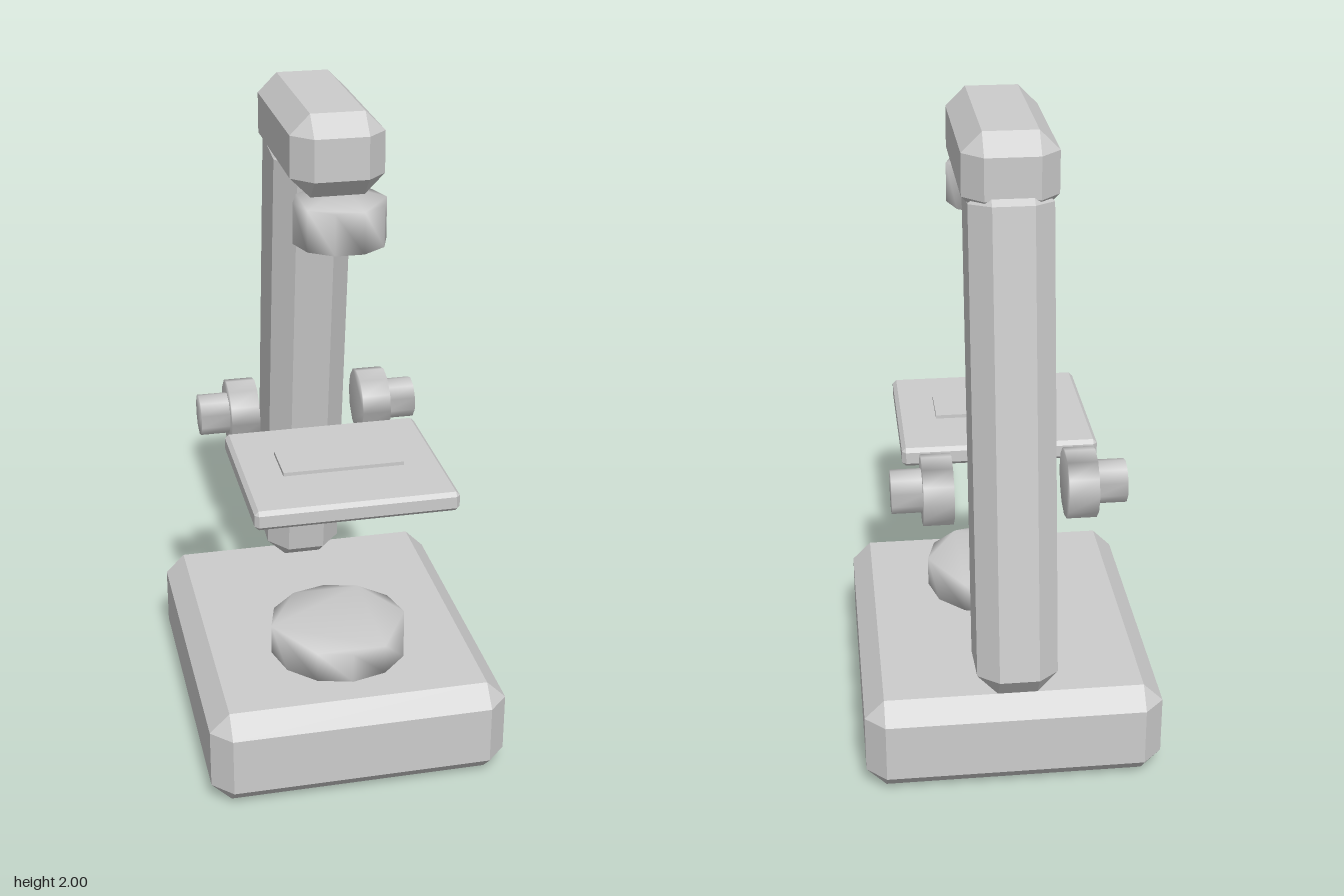
import * as THREE from 'three';
import { mergeVertices } from 'three/addons/utils/BufferGeometryUtils.js';
import { ConvexGeometry } from 'three/addons/geometries/ConvexGeometry.js';

const grey = new THREE.MeshStandardMaterial({ color: 0xcccccc });
grey.name = 'plainGrey';

// Box with every edge cut flat by c
function chamferBox(w, h, d, c) {
  const points = [];
  for (const x of [-1, 1]) for (const y of [-1, 1]) for (const z of [-1, 1])
    for (const [a, b, e] of [[0, c, c], [c, 0, c], [c, c, 0]])
      points.push(new THREE.Vector3(x * (w / 2 - a), y * (h / 2 - b), z * (d / 2 - e)));
  return new ConvexGeometry(points);
}

// Low-sided disc along z, with normals smoothed over the rim
function softDisc(radius, depth, sides, start = 0) {
  const points = [];
  for (let i = 0; i < sides; i++) {
    const a = start + (i / sides) * Math.PI * 2;
    points.push(new THREE.Vector2(Math.cos(a) * radius, Math.sin(a) * radius));
  }
  const raw = new THREE.ExtrudeGeometry(new THREE.Shape(points), { depth, bevelEnabled: false, steps: 1 });
  raw.translate(0, 0, -depth / 2);
  raw.deleteAttribute('normal');
  raw.deleteAttribute('uv');
  const geometry = mergeVertices(raw, 1e-4);
  geometry.computeVertexNormals();
  return geometry;
}

export function createModel() {
  const model = new THREE.Group();
  model.name = 'microscope';

  const add = (name, geometry, x, y, z) => {
    const mesh = new THREE.Mesh(geometry, grey);
    mesh.name = name;
    mesh.position.set(x, y, z);
    model.add(mesh);
    return mesh;
  };

  // Foot and lamp
  add('base', chamferBox(0.91, 0.305, 1.09, 0.06), 0, 0.1525, 0.032);
  add('lamp', softDisc(0.212, 0.095, 12).rotateX(-Math.PI / 2), 0, 0.3525, 0.217);

  // Leaning arm
  const arm = add('arm', chamferBox(0.24, 1.525, 0.3, 0.061), 0, 1.097, -0.33);
  arm.rotation.x = THREE.MathUtils.degToRad(8);

  // Head and lens
  add('head', chamferBox(0.272, 0.238, 0.605, 0.058), 0, 1.881, -0.058);
  add('lens', softDisc(0.135, 0.12, 10).rotateX(-Math.PI / 2), 0, 1.7, 0.217);

  // Stage and slide
  add('stage', chamferBox(0.603, 0.06, 0.54, 0.012), 0, 0.913, 0.213);
  add('slide', new THREE.BoxGeometry(0.364, 0.011, 0.15), 0, 0.957, 0.213);

  // Focus knobs on both sides
  for (const side of [-1, 1]) {
    const prefix = side > 0 ? 'left' : 'right';
    add(prefix + 'CoarseKnob', softDisc(0.106, 0.09, 12).rotateY(Math.PI / 2), side * 0.213, 0.914, -0.271);
    add(prefix + 'FineKnob', softDisc(0.066, 0.1, 10, Math.PI / 2).rotateY(Math.PI / 2), side * 0.299, 0.914, -0.271);
  }
  return model;
}
